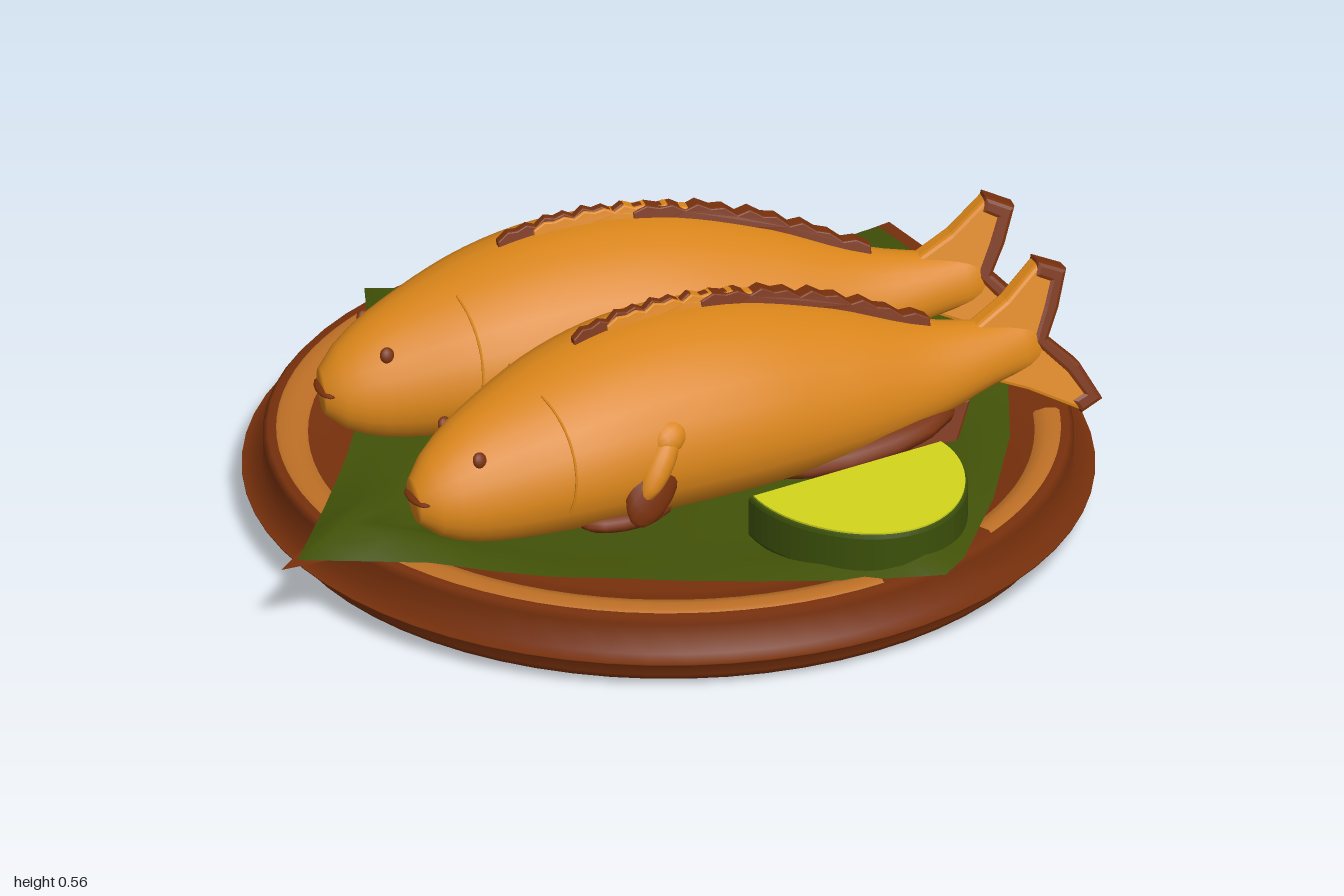
import * as THREE from 'three';

const mat = (name, color, side = THREE.FrontSide) => {
  const m = new THREE.MeshStandardMaterial({ color, side });
  m.name = name;
  return m;
};

// Skin through closed rings of points
function loft(rings) {
  const n = rings[0].length, pos = [], idx = [];
  rings.forEach(r => r.forEach(p => pos.push(...p)));
  for (let i = 0; i < rings.length - 1; i++) {
    for (let j = 0; j < n; j++) {
      const k = (j + 1) % n, a = i * n + j, b = i * n + k, c = a + n, d = b + n;
      idx.push(a, b, c, b, d, c);
    }
  }
  const g = new THREE.BufferGeometry();
  g.setAttribute('position', new THREE.Float32BufferAttribute(pos, 3));
  g.setIndex(idx);
  g.computeVertexNormals();
  return g;
}

function add(parent, name, geo, material) {
  const m = new THREE.Mesh(geo, material);
  m.name = name;
  parent.add(m);
}

// Fish profile along its length: [distance, half width, bottom, top]
const PROFILE = [
  [0, 0.035, 0.24, 0.33], [0.05, 0.075, 0.203, 0.375], [0.15, 0.115, 0.175, 0.43],
  [0.35, 0.175, 0.165, 0.5], [0.55, 0.195, 0.162, 0.535], [0.78, 0.19, 0.165, 0.53],
  [1.0, 0.145, 0.18, 0.48], [1.2, 0.088, 0.215, 0.41], [1.35, 0.05, 0.26, 0.385], [1.46, 0.02, 0.28, 0.375],
];
function profileAt(u) {
  let i = 0;
  while (i < PROFILE.length - 2 && u > PROFILE[i + 1][0]) i++;
  const at = k => PROFILE[Math.min(Math.max(k, 0), PROFILE.length - 1)];
  const [p, q] = [at(i), at(i + 1)], h = q[0] - p[0], t = (u - p[0]) / h;
  return [1, 2, 3].map(k => {
    const s = (a, b) => (b[k] - a[k]) / Math.max(b[0] - a[0], 0.01) * h;
    const m0 = s(at(i - 1), q), m1 = s(p, at(i + 2)), t2 = t * t, t3 = t2 * t;
    return (2 * t3 - 3 * t2 + 1) * p[k] + (t3 - 2 * t2 + t) * m0 + (3 * t2 - 2 * t3) * q[k] + (t3 - t2) * m1;
  });
}

// Tilt the fish sideways and bow it gently
function lean(g) {
  const p = g.attributes.position;
  for (let i = 0; i < p.count; i++) {
    const u = p.getX(i);
    p.setZ(i, p.getZ(i) - 0.33 * (p.getY(i) - 0.33) - 0.04 * Math.sin(Math.PI * u / 1.56));
  }
  g.computeVertexNormals();
  return g;
}

function slab(points, depth, bevel) {
  const g = new THREE.ExtrudeGeometry(new THREE.Shape(points.map(p => new THREE.Vector2(...p))), {
    depth, bevelEnabled: true, bevelSize: bevel, bevelThickness: bevel, bevelSegments: 2,
  });
  return lean(g.translate(0, 0, -depth / 2));
}

const blob = (x, y, z, sx, sy, sz, roll = 0, yaw = 0) => lean(new THREE.SphereGeometry(1, 14, 10)
  .scale(sx, sy, sz).rotateZ(roll).rotateY(yaw).translate(x, y, z));

function makeFish(M) {
  const fish = new THREE.Group();
  // Body
  const rings = [];
  const ring = (u, k) => {
    const [w, b, t] = profileAt(u), r = [];
    for (let j = 0; j < 24; j++) {
      const a = j / 24 * Math.PI * 2;
      r.push([u, (b + t) / 2 + Math.cos(a) * k * (t - b) / 2, Math.sin(a) * k * w]);
    }
    rings.push(r);
  };
  ring(0, 0);
  for (let i = 0; i <= 36; i++) ring(i / 36 * 1.46, 1);
  ring(1.46, 0);
  add(fish, 'fishBody', lean(loft(rings)), M.fish);

  // Forked tail, browned along its trailing edge
  const rear = [[1.53, 0.185], [1.565, 0.2], [1.53, 0.27], [1.465, 0.335], [1.5, 0.4], [1.525, 0.465], [1.48, 0.485]];
  const inner = [[1.52, 0.2], [1.545, 0.21], [1.512, 0.267], [1.45, 0.335], [1.482, 0.4], [1.505, 0.455], [1.475, 0.47]];
  const tail = [[1.31, 0.29], [1.42, 0.245], ...rear, [1.4, 0.42], [1.31, 0.37]];
  add(fish, 'tailFin', slab(tail, 0.024, 0.008), M.fish);
  add(fish, 'tailEdge', slab([...rear, ...inner.reverse()], 0.028, 0.009), M.brown);

  // Jagged dorsal fin: pale in front, browned behind
  const fin = (from, to, height, depth, material) => {
    const crest = [], base = [];
    for (let i = 0; i <= 18; i++) {
      const u = from + (to - from) * i / 18, top = profileAt(u)[2];
      const rise = 0.008 + height * Math.sin(Math.PI * (0.15 + 0.7 * i / 18));
      crest.unshift([u, top + rise * [0.45, 1, 0.7, 0.9][i % 4]]);
      base.push([u, top - 0.02]);
    }
    add(fish, 'dorsalFin', slab([...base, ...crest], depth, 0.003), material);
  };
  fin(0.42, 0.8, 0.018, 0.012, M.brown);
  fin(0.72, 1.22, 0.02, 0.026, M.brown);
  fin(0.5, 0.9, 0.014, 0.02, M.fish);

  // Browned belly and anal fin
  add(fish, 'bellyPatch', blob(1.02, 0.212, 0, 0.24, 0.045, 0.125, 0.12), M.brown);
  add(fish, 'analFin', slab([[0.98, 0.2], [1.08, 0.165], [1.24, 0.165], [1.28, 0.24]], 0.03, 0.008), M.brown);

  // Side fins, gills and eyes
  add(fish, 'rightPectoralFin', blob(0.51, 0.325, 0.178, 0.085, 0.03, 0.03, 0.95), M.fish);
  add(fish, 'rightPectoralTip', blob(0.54, 0.37, 0.172, 0.045, 0.035, 0.032, 0.5), M.fish);
  add(fish, 'rightPectoralShade', blob(0.495, 0.285, 0.165, 0.1, 0.055, 0.026, 1.0), M.brown);
  add(fish, 'leftPectoralFin', blob(0.45, 0.34, -0.215, 0.14, 0.035, 0.02, 0.3, 0.42), M.fish);
  add(fish, 'leftPectoralTip', blob(0.54, 0.365, -0.255, 0.05, 0.03, 0.016, 0.3, 0.42), M.brown);
  for (const s of [-1, 1]) {
    add(fish, 'pelvicFin', blob(0.45, 0.195, s * 0.09, 0.11, 0.026, 0.05), M.brown);
    add(fish, 'eye', blob(0.13, 0.375, s * 0.088, 0.016, 0.016, 0.01), M.brown);
    const gill = [];
    for (let i = 0; i <= 8; i++) {
      const a = 0.5 + i / 8 * 1.6, u = 0.27 + 0.05 * Math.sin(a * 1.2), [w, b, t] = profileAt(u);
      gill.push(new THREE.Vector3(u, (b + t) / 2 + Math.cos(a) * (t - b) / 2, s * w * Math.sin(a)));
    }
    add(fish, 'gillLine', lean(new THREE.TubeGeometry(new THREE.CatmullRomCurve3(gill), 16, 0.003, 5)), M.fish);
  }
  add(fish, 'mouth', blob(0.012, 0.29, 0, 0.026, 0.009, 0.05), M.brown);
  return fish;
}

// Leaf outline seen from above, [x, z]
const LEAF = [[-0.03, -0.875], [0.18, -0.71], [0.4, -0.56], [0.58, -0.43], [0.73, -0.36], [0.955, -0.345],
  [0.92, -0.12], [0.83, 0.12], [0.69, 0.35], [0.54, 0.52], [0.32, 0.71], [0.1, 0.86], [0.02, 0.89],
  [-0.05, 0.84], [-0.2, 0.71], [-0.4, 0.54], [-0.6, 0.33], [-0.75, 0.12], [-0.95, -0.075],
  [-0.75, -0.21], [-0.55, -0.36], [-0.38, -0.5], [-0.2, -0.67]];

// Leaf surface between two fractions of its radius, arching over the rim near the corners
function leafGeometry(from, to, drop, picked = () => true) {
  const rings = [], steps = 14;
  for (let i = 0; i <= steps; i++) {
    const r = [];
    LEAF.forEach((p, k) => {
      const q = LEAF[(k + 1) % LEAF.length];
      for (const f of [0, 0.5]) {
        const ox = p[0] + (q[0] - p[0]) * f, oz = p[1] + (q[1] - p[1]) * f;
        const end = picked(Math.hypot(ox, oz)) ? to : from;
        const t = from + (end - from) * i / steps, x = ox * t, z = oz * t, d = Math.hypot(x, z);
        const arch = 0.05 * Math.exp(-(((t - 0.86) / 0.1) ** 2)) * THREE.MathUtils.smoothstep(d, 0.58, 0.8);
        const wave = 0.007 * Math.sin(5 * x + 3 * z) * Math.sin(6 * z - 2 * x);
        r.push([x, 0.16 + arch + wave * (d < 0.8 ? 1 : 0.3) - drop, z]);
      }
    });
    rings.push(r);
  }
  return loft(rings);
}

export function createModel() {
  const M = {
    brown: mat('brown wood', 0x77300c),
    tan: mat('tan wood', 0xbe7026),
    fish: mat('fried fish', 0xd88419),
    leaf: mat('leaf green', 0x425208, THREE.DoubleSide),
    rind: mat('lime rind', 0x3c500a),
    lime: mat('lime flesh', 0xd2d61c),
    edge: mat('dried leaf edge', 0x77300c, THREE.DoubleSide),
  };
  const model = new THREE.Group();
  const lathe = (pts, seg, a = 0, len = Math.PI * 2) =>
    new THREE.LatheGeometry(pts.map(p => new THREE.Vector2(...p)), seg, a, len);

  // Plate with a thin lip around its side
  const plate = new THREE.Group();
  plate.name = 'plate';
  plate.position.x = 0.04;
  model.add(plate);
  add(plate, 'plateBody', lathe([[0, 0.004], [0.8, 0.004], [0.8, 0.004], [0.84, 0.008], [0.854, 0.025],
    [0.856, 0.068], [0.9, 0.07], [0.9, 0.073], [0.856, 0.075],
    [0.856, 0.145], [0.845, 0.158], [0.8, 0.158], [0.72, 0.138], [0.68, 0.13], [0, 0.13]], 64), M.brown);

  // Tan worn arcs on the rim, in degrees from the front
  for (const [a, b, r0, r1] of [[-97, -9, 0.755, 0.83], [-171, -101, 0.755, 0.83], [13, 53, 0.765, 0.83], [130, 166, 0.785, 0.82]]) {
    const pts = [[r1, 0.156], [r1 - 0.01, 0.163], [(r0 + r1) / 2, 0.164], [r0 + 0.01, 0.157], [r0, 0.14]];
    add(plate, 'rimArc', lathe(pts, 20, a * Math.PI / 180, (b - a) * Math.PI / 180), M.tan);
  }

  // Leaf with dried brown tips at the two far corners
  add(model, 'leaf', leafGeometry(0, 1, 0), M.leaf);
  add(model, 'leafTips', leafGeometry(0.95, 1.045, 0.004, d => d > 0.91), M.edge);

  // Two fish
  for (const [name, x, z, deg] of [['frontFish', -0.73, 0.04, 17.5], ['backFish', -0.545, -0.45, 26]]) {
    const f = makeFish(M);
    f.name = name;
    f.position.set(x, 0, z);
    f.rotation.y = -deg * Math.PI / 180;
    model.add(f);
  }

  // Lime half: rind body with a flesh face on top
  const half = k => {
    const s = new THREE.Shape();
    s.moveTo(-0.235 * k, 0);
    s.lineTo(0.235 * k, 0);
    s.bezierCurveTo(0.25 * k, -0.12 * k, 0.14 * k, -0.305 * k, -0.01, -0.305 * k);
    s.bezierCurveTo(-0.14 * k, -0.305 * k, -0.25 * k, -0.15 * k, -0.235 * k, 0);
    return s;
  };
  const lime = new THREE.Group();
  lime.name = 'limeHalf';
  lime.position.set(0.07, 0.155, 0.525);
  lime.rotation.y = -0.19;
  model.add(lime);
  const rind = new THREE.ExtrudeGeometry(half(0.98), {
    depth: 0.08, bevelSize: 0.008, bevelThickness: 0.01, bevelSegments: 2, curveSegments: 20,
  });
  add(lime, 'limeRind', rind.rotateX(-Math.PI / 2).translate(0, 0.01, 0), M.rind);
  const flesh = new THREE.ExtrudeGeometry(half(0.985), { depth: 0.004, bevelEnabled: false, curveSegments: 20 });
  add(lime, 'limeFlesh', flesh.rotateX(-Math.PI / 2).translate(0, 0.099, 0.002), M.lime);

  return model;
}
